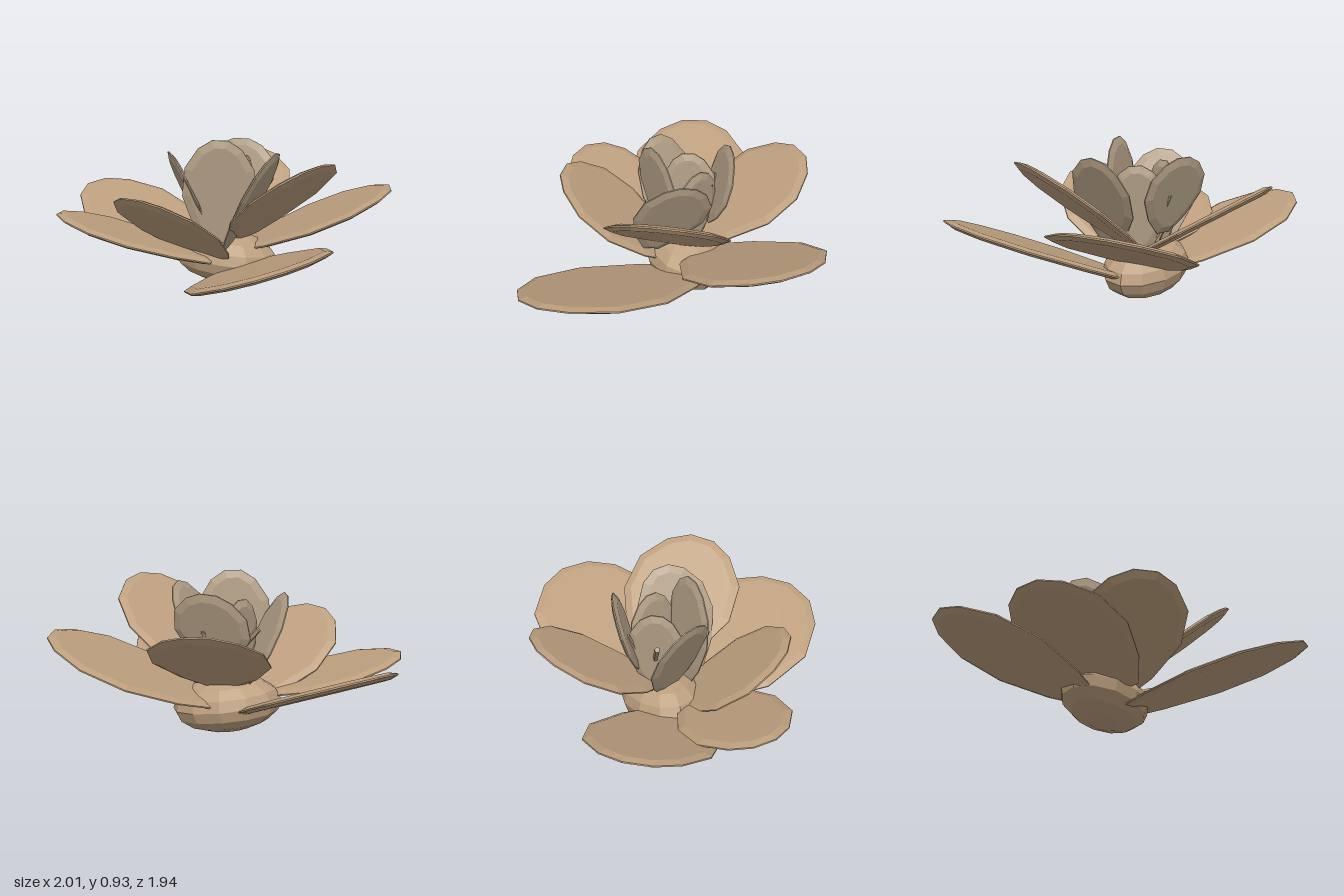
import * as THREE from 'three';

const outerMat = new THREE.MeshStandardMaterial({ color: 0xbd9f7e, flatShading: true });
const innerMat = new THREE.MeshStandardMaterial({ color: 0xb3a086, flatShading: true });
const stamenMat = new THREE.MeshStandardMaterial({ color: 0xa8977c, flatShading: true });

// Half outline of a petal: position along it, share of the half width
const OUTLINE = [[0, 0.22], [0.2, 0.66], [0.48, 1], [0.74, 0.95], [0.92, 0.6], [1, 0.22]];
const V = (a) => new THREE.Vector3(...a);

// Flat bevelled petal from root to tip, facing the given normal
function petal(name, root, tip, normal, width, mat, thick = 0.04) {
  const axis = V(tip).sub(V(root));
  const len = axis.length();
  axis.normalize();
  const side = axis.clone().cross(V(normal)).normalize();
  const face = side.clone().cross(axis);
  const right = OUTLINE.map(([u, w]) => new THREE.Vector2(w * width / 2, u * len));
  const left = right.map((p) => new THREE.Vector2(-p.x, p.y)).reverse();
  const bevel = Math.min(0.045, width * 0.12);
  const geo = new THREE.ExtrudeGeometry(new THREE.Shape([...right, ...left]), {
    depth: thick * 0.2, bevelEnabled: true, bevelSegments: 1,
    bevelSize: bevel, bevelOffset: -bevel, bevelThickness: thick * 0.4,
  });
  geo.translate(0, 0, -thick * 0.1);
  geo.applyMatrix4(new THREE.Matrix4().makeBasis(side, axis, face).setPosition(V(root)));
  const mesh = new THREE.Mesh(geo, mat);
  mesh.name = name;
  return mesh;
}

// Petal lying on the plane y = a + b x + c z, given by root and tip in x, z
function planePetal(name, [a, b, c], [rx, rz], [tx, tz], width) {
  const at = (x, z) => [x, a + b * x + c * z, z];
  return petal(name, at(rx, rz), at(tx, tz), [-b, 1, -c], width, outerMat);
}

export function createModel() {
  const flower = new THREE.Group();
  flower.name = 'flower';

  // Rounded base, slightly tilted
  const base = new THREE.Mesh(new THREE.SphereGeometry(1, 12, 8), outerMat);
  base.name = 'flowerBase';
  base.scale.set(0.325, 0.165, 0.24);
  base.position.set(0, 0.17, -0.2);
  base.rotation.z = -0.13;
  flower.add(base);

  // Wide outer petals
  const outer = [
    ['frontPetal', [0.10, 0.33, 0.17], [0.12, -0.23], [0.41, 0.945], 0.86],
    ['backRightPetal', [0.04, -0.294, -0.25], [-0.1, -0.2], [-0.95, -0.71], 0.75],
    ['rightPetal', [0.17, -0.28, 0.1], [-0.05, 0.01], [-1, 0], 0.62],
    ['backPetal', [0.14, 0, -0.6], [0.02, -0.22], [0.02, -0.965], 0.67],
    ['leftPetal', [0.17, 0.42, 0], [0.04, -0.3], [1, -0.4], 0.83],
    ['frontLeftPetal', [0.31, 0.68, 0.44], [0.12, -0.22], [0.58, 0.32], 0.7],
    ['frontRightPetal', [0.22, -0.36, 0.65], [-0.03, -0.14], [-0.46, 0.41], 0.68],
  ];
  for (const p of outer) flower.add(planePetal(...p));

  // Upright inner petals
  const inner = [
    ['innerFrontPetal', [-0.03, 0.25, -0.06], [0, 0.93, 0], [0.12, -0.1, 1], 0.44],
    ['innerLeftPetal', [0.03, 0.28, 0.04], [0.335, 0.85, -0.06], [-0.82, 0.5, -0.22], 0.44],
    ['innerRightPetal', [-0.08, 0.25, -0.2], [-0.34, 0.82, -0.15], [0.84, 0.4, -0.35], 0.42],
    ['innerBackPetal', [0.04, 0.4, -0.33], [0.06, 0.86, -0.47], [-0.3, 0.3, 1], 0.48],
  ];
  for (const [name, root, tip, n, w] of inner) flower.add(petal(name, root, tip, n, w, innerMat, 0.035));

  // Narrow blades around the stamens
  flower.add(petal('bladeRight', [-0.05, 0.28, -0.27], [-0.1, 0.8, -0.26], [0.85, 0.1, 0.5], 0.32, innerMat, 0.04));
  flower.add(petal('bladeLeft', [0.08, 0.28, -0.22], [0.14, 0.8, -0.2], [-0.92, 0.1, 0.35], 0.34, innerMat, 0.04));

  // Stamens
  const stamens = [
    [[0.08, 0.3, -0.22], [-0.2, 0.64, -0.3]], [[-0.06, 0.3, -0.12], [0.09, 0.68, -0.32]],
    [[0, 0.3, -0.26], [-0.03, 0.66, -0.42]], [[0.05, 0.3, -0.26], [0.1, 0.64, -0.4]],
    [[-0.04, 0.3, -0.2], [-0.1, 0.62, -0.1]],
  ];
  for (const [a, b] of stamens) {
    const d = V(b).sub(V(a));
    const m = new THREE.Mesh(new THREE.CylinderGeometry(0.018, 0.012, d.length(), 5), stamenMat);
    m.name = 'stamen';
    m.position.copy(V(a)).addScaledVector(d, 0.5);
    m.quaternion.setFromUnitVectors(new THREE.Vector3(0, 1, 0), d.normalize());
    flower.add(m);
  }
  return flower;
}
